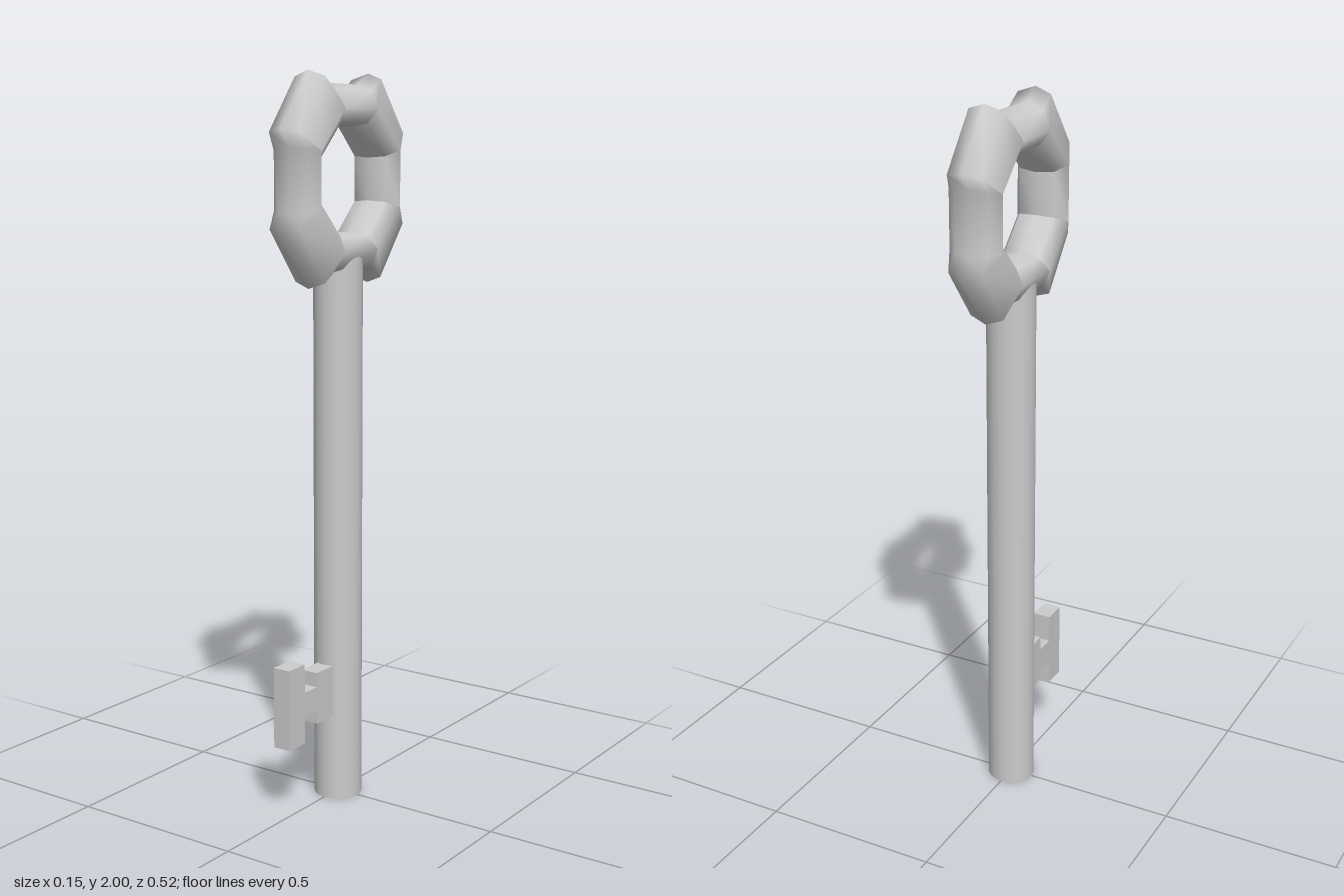
import * as THREE from 'three';

const material = new THREE.MeshStandardMaterial({ color: 0xcccccc });

function addMesh(group, name, geometry, x, y, z) {
  const mesh = new THREE.Mesh(geometry, material);
  mesh.name = name;
  mesh.position.set(x, y, z);
  group.add(mesh);
}

// Octagonal ring in the yz plane whose diagonal sides bulge outward.
function ringGeometry() {
  const deg = Math.PI / 180;
  // One quarter turn from +y to +z: [outer angle, outer radius] at each station
  const quarter = [[19.8, 0.266], [26.2, 0.313], [63, 0.289], [69, 0.238]];
  const stations = [];
  for (let q = 0; q < 4; q++) {
    const list = q % 2 ? quarter.map(([a, r]) => [90 - a, r]).reverse() : quarter;
    list.forEach(([a, r], k) => {
      const corner = k < 2 ? 22.5 : 67.5;
      stations.push({ outer: (q * 90 + a) * deg, inner: (q * 90 + corner) * deg, r });
    });
  }
  const positions = [], index = [];
  const put = (x, r, a) => positions.push(x, r * Math.cos(a), r * Math.sin(a));
  for (const { outer, inner, r } of stations) {
    put(0, r, outer);
    put(0.048, r - 0.018, outer);
    put(0.076, 0.2, inner);
    put(0.05, 0.16, inner);
    put(0, 0.15, inner);
    put(-0.05, 0.16, inner);
    put(-0.076, 0.2, inner);
    put(-0.048, r - 0.018, outer);
  }
  const n = stations.length, m = 8;
  for (let i = 0; i < n; i++) {
    for (let j = 0; j < m; j++) {
      const i2 = (i + 1) % n, j2 = (j + 1) % m;
      const a = i * m + j, b = i2 * m + j, c = i2 * m + j2, d = i * m + j2;
      index.push(a, b, c, a, c, d);
    }
  }
  const geometry = new THREE.BufferGeometry();
  geometry.setAttribute('position', new THREE.Float32BufferAttribute(positions, 3));
  geometry.setIndex(index);
  geometry.computeVertexNormals();
  return geometry;
}

export function createModel() {
  const key = new THREE.Group();
  key.name = 'key';

  // Handle and shaft
  addMesh(key, 'handleRing', ringGeometry(), 0, 1.72, -0.003);
  addMesh(key, 'shaft', new THREE.CylinderGeometry(0.067, 0.067, 1.52, 20), 0, 0.76, 0);

  // Bit: wide root, narrow neck and tall end plate, as [name, zMin, zMax, yMin, yMax]
  const bit = new THREE.Group();
  bit.name = 'bit';
  for (const [name, z0, z1, y0, y1] of [
    ['bitRoot', 0.03, 0.138, 0.245, 0.39],
    ['bitNeck', 0.13, 0.2, 0.28, 0.35],
    ['bitPlate', 0.194, 0.264, 0.205, 0.43],
  ]) {
    addMesh(bit, name, new THREE.BoxGeometry(0.052, y1 - y0, z1 - z0), 0, (y0 + y1) / 2, (z0 + z1) / 2);
  }
  key.add(bit);
  return key;
}
